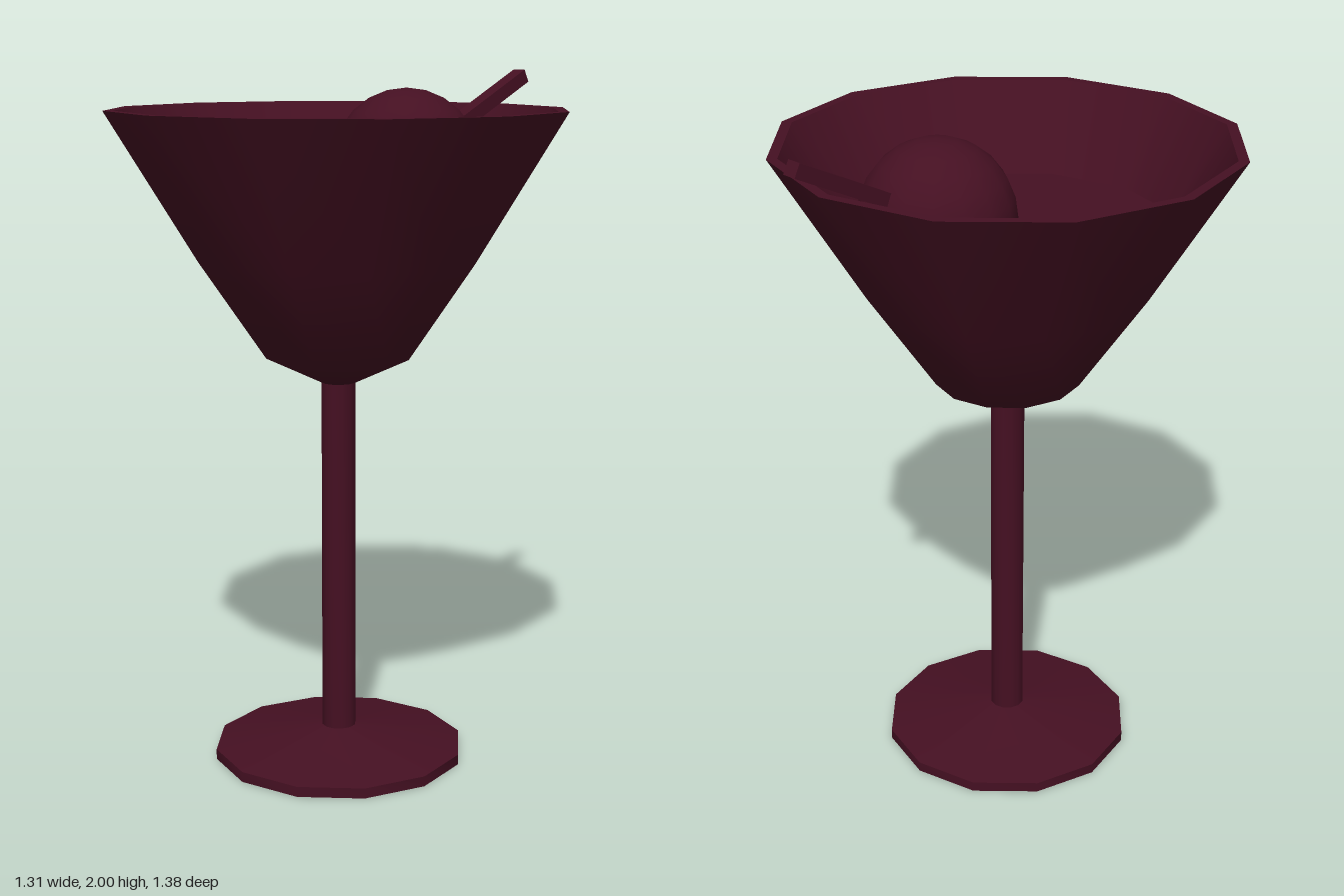
import * as THREE from 'three';
import { toCreasedNormals } from 'three/addons/utils/BufferGeometryUtils.js';

const SIDES = 12;
const CENTRE_Z = 0.035;

export function createModel() {
  const group = new THREE.Group();
  const material = new THREE.MeshStandardMaterial({ color: 0x451022 });

  const add = (name, geometry, x, y, z) => {
    const mesh = new THREE.Mesh(geometry, material);
    mesh.name = name;
    mesh.position.set(x, y, z);
    group.add(mesh);
    return mesh;
  };

  // Turned part from [radius, height] pairs, smooth around and sharp at the rims
  const turned = (name, profile) => {
    const points = profile.map(([r, y]) => new THREE.Vector2(r, y));
    const geometry = new THREE.LatheGeometry(points, SIDES);
    return add(name, toCreasedNormals(geometry, 0.7), 0, 0, CENTRE_Z);
  };

  // Foot: thin disc with a shallow cone on top
  turned('foot', [[0, 0], [0.37, 0], [0.37, 0.03], [0.05, 0.085]]);

  // Stem
  turned('stem', [[0.05, 0.075], [0.05, 1.14]]);

  // Bowl: outside up to the rim, then down the inside
  turned('bowl', [
    [0, 1.125], [0.05, 1.125], [0.21, 1.2], [0.4, 1.48], [0.655, 1.9],
    [0.625, 1.9], [0.37, 1.48], [0.185, 1.22], [0, 1.16],
  ]);

  // Drink surface
  turned('drink', [[0.476, 1.655], [0, 1.655]]);

  // Olive resting in the drink
  const olive = new THREE.Vector3(0.023, 1.74, -0.205);
  add('olive', new THREE.SphereGeometry(0.215, 16, 12), olive.x, olive.y, olive.z);

  // Pick running from the middle of the olive over the rim
  const tip = new THREE.Vector3(0.023, 1.982, -0.682);
  const middle = olive.clone().lerp(tip, 0.5);
  const pick = add('pick', new THREE.BoxGeometry(0.045, 0.04, olive.distanceTo(tip)),
    middle.x, middle.y, middle.z);
  pick.lookAt(tip);

  return group;
}
